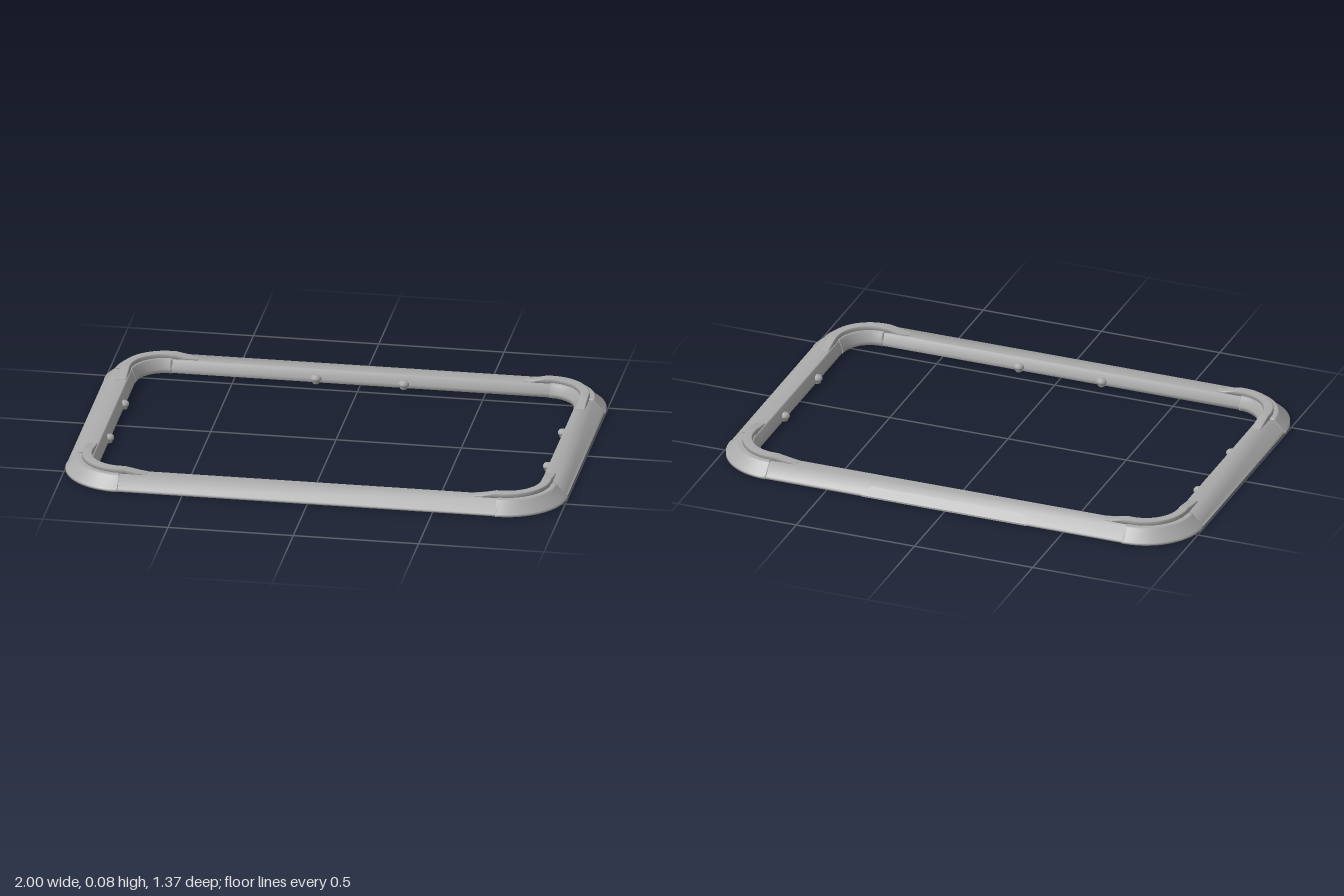
import * as THREE from 'three';

const R = 0.24, CX = 0.76, CZ = 0.444; // outer corner radius and corner centres
const SIGNS = [[1, 1], [-1, 1], [-1, -1], [1, -1]];
const material = new THREE.MeshStandardMaterial({ color: 0xaaaaaa });

// Cross-sections as [distance in from outer edge, height], counter-clockwise.
// Rails and corners are thin shells, open underneath.
const RAIL = [[0.002, 0.004], [0.002, 0.012], [0.012, 0.013], [0.046, 0.056], [0.106, 0.056],
  [0.111, 0.052], [0.124, 0.02], [0.124, 0.004], [0.116, 0.004], [0.103, 0.049], [0.05, 0.049], [0.016, 0.004]];
const CORNER = [[0, 0.003], [0, 0.013], [0.01, 0.015], [0.043, 0.055], [0.05, 0.059], [0.106, 0.059],
  [0.113, 0.054], [0.127, 0.02], [0.127, 0.003], [0.115, 0.003], [0.102, 0.05], [0.051, 0.05], [0.017, 0.003]];
const RIDGE = [[0.064, 0.052], [0.066, 0.072], [0.07, 0.075], [0.1, 0.075], [0.104, 0.072], [0.107, 0.052]];

// A place on the outline: corner k, angle within it, shift along the tangent
function station(k, angle, shift = 0, top = 1) {
  const a = k * Math.PI / 2 + angle;
  return { x: CX * SIGNS[k][0] - Math.sin(a) * shift, z: CZ * SIGNS[k][1] + Math.cos(a) * shift,
    nx: Math.cos(a), nz: Math.sin(a), top };
}

// Sweeps a cross-section through stations, caps both ends, smooth all over
function sweep(profile, stations) {
  const n = profile.length, pos = [], index = [];
  for (const s of stations) {
    for (const [d, y] of profile) {
      pos.push(s.x + s.nx * (R - d), Math.min(y, s.top), s.z + s.nz * (R - d));
    }
  }
  for (let j = 0; j < stations.length - 1; j++) {
    for (let i = 0; i < n; i++) {
      const a = j * n + i, b = j * n + (i + 1) % n;
      index.push(a, b, a + n, b, b + n, a + n);
    }
  }
  const outline = profile.map(([d, y]) => new THREE.Vector2(-d, y));
  const last = (stations.length - 1) * n;
  for (const [a, b, c] of THREE.ShapeUtils.triangulateShape(outline, [])) {
    index.push(a, c, b, last + a, last + b, last + c);
  }
  const geometry = new THREE.BufferGeometry();
  geometry.setAttribute('position', new THREE.Float32BufferAttribute(pos, 3));
  geometry.setIndex(index);
  geometry.computeVertexNormals();
  return geometry;
}

function arc(k, segments = 20) {
  return Array.from({ length: segments + 1 }, (_, i) => station(k, (i / segments) * Math.PI / 2));
}

function add(parent, name, geometry) {
  const mesh = new THREE.Mesh(geometry, material);
  mesh.name = name;
  parent.add(mesh);
  return mesh;
}

// Small knob with a collar, standing against the inner wall
function addPeg(parent, x, z) {
  const profile = [[0, 0], [0.011, 0], [0.015, 0.004], [0.015, 0.014], [0.021, 0.016],
    [0.021, 0.024], [0.015, 0.032], [0, 0.035]].map(p => new THREE.Vector2(...p));
  add(parent, 'peg', new THREE.LatheGeometry(profile, 16)).position.set(x, 0, z);
}

// Trapezoid plate whose top follows the slant of the back rail
function backPlate() {
  const shape = new THREE.Shape([[-0.35, 0.688], [-0.32, 0.655], [0.32, 0.655], [0.35, 0.688]]
    .map(p => new THREE.Vector2(...p)));
  const geometry = new THREE.ExtrudeGeometry(shape, { depth: 1, bevelEnabled: false }).rotateX(-Math.PI / 2);
  const p = geometry.attributes.position;
  for (let i = 0; i < p.count; i++) {
    p.setY(i, p.getY(i) > 0.5 ? 0.013 + (0.688 + p.getZ(i)) * 0.85 : 0.006);
  }
  geometry.computeVertexNormals();
  return geometry;
}

export function createModel() {
  const model = new THREE.Group();
  model.name = 'frame';
  const rails = ['frontRail', 'rightRail', 'backRail', 'leftRail'];
  const corners = ['frontLeft', 'frontRight', 'backRight', 'backLeft'];
  const q = Math.PI / 2;

  for (let k = 0; k < 4; k++) {
    // Straight rail to the next corner
    add(model, rails[k], sweep(RAIL, [station(k, q), station((k + 1) % 4, 0)]));
    // Rounded corner cover
    add(model, corners[k] + 'Corner', sweep(CORNER, [station(k, 0, -0.003), ...arc(k), station(k, q, 0.01)]));
    // Raised ridge, ramping down onto the rails
    add(model, corners[k] + 'Ridge', sweep(RIDGE, [
      station(k, 0, -0.11, 0.058), station(k, 0, -0.08, 0.062), station(k, 0, -0.02), ...arc(k),
      station(k, q, 0.02), station(k, q, 0.08, 0.062), station(k, q, 0.11, 0.058)]));
  }

  // Two pegs along every inner wall
  for (const side of [-1, 1]) {
    for (const along of [-0.175, 0.175]) {
      addPeg(model, side * 0.876, along);
      addPeg(model, along, side * 0.56);
    }
  }

  add(model, 'backPlate', backPlate());
  return model;
}
